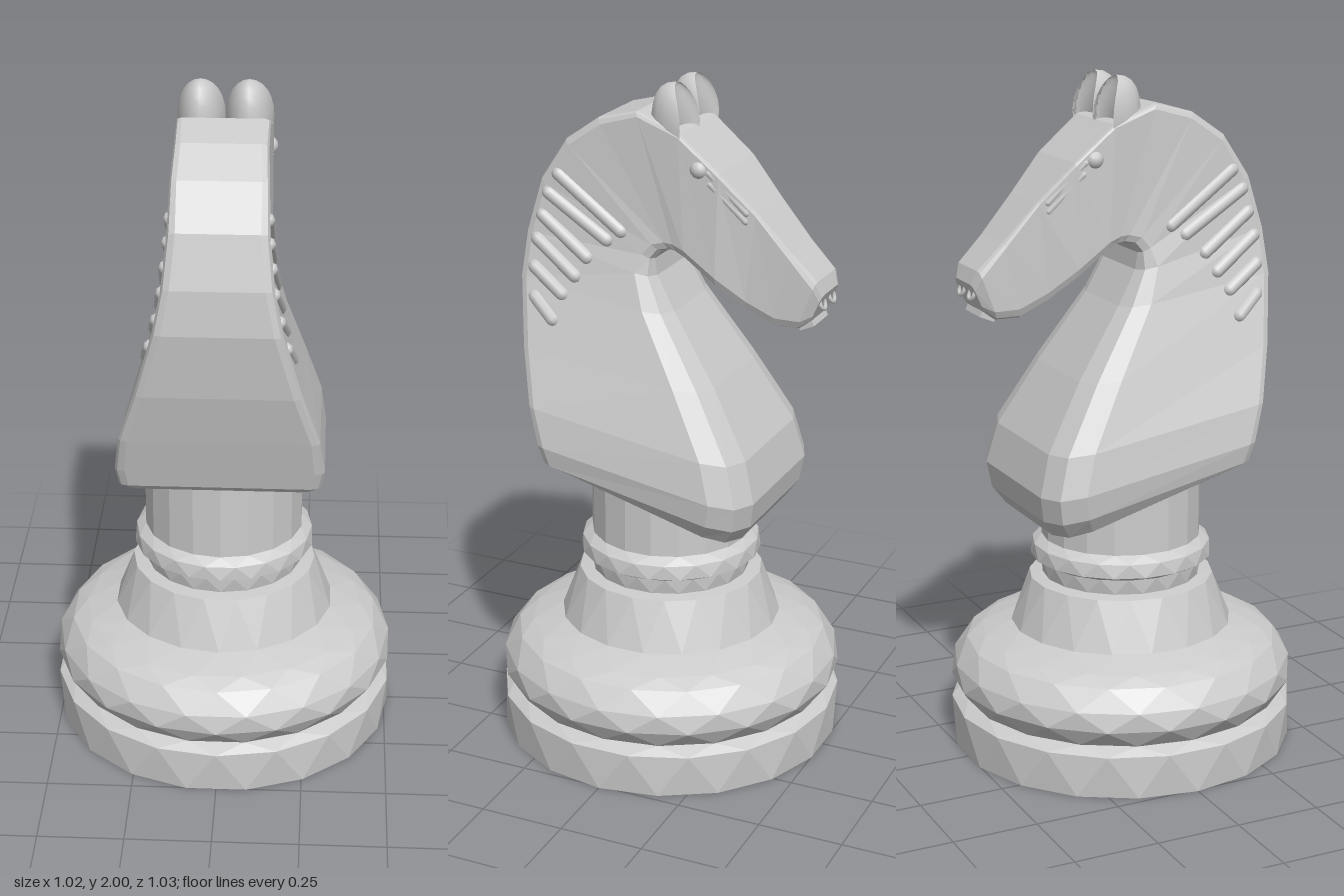
import * as THREE from 'three';

const mat = new THREE.MeshStandardMaterial({ color: 0xcccccc, flatShading: true });
const smooth = new THREE.MeshStandardMaterial({ color: 0xcccccc });

// Horse cross-sections, chest to muzzle:
// [crest z, crest y, throat z, throat y, half width, crest rounding, throat rounding]
const SECTIONS = [
  [0.23, 0.865, -0.25, 0.70, 0.20, 0.03, 0.07],
  [0.265, 0.875, -0.30, 0.715, 0.26, 0.03, 0.09],
  [0.285, 0.895, -0.335, 0.765, 0.29, 0.03, 0.10],
  [0.30, 0.95, -0.347, 0.84, 0.30, 0.03, 0.10],
  [0.33, 1.06, -0.315, 0.96, 0.285, 0.025, 0.10],
  [0.37, 1.22, -0.20, 1.15, 0.235, 0.025, 0.09],
  [0.40, 1.42, -0.06, 1.35, 0.18, 0.025, 0.07],
  [0.39, 1.55, -0.005, 1.45, 0.155, 0.025, 0.05],
  [0.35, 1.70, 0.00, 1.50, 0.14, 0.025, 0.03],
  [0.27, 1.82, -0.02, 1.525, 0.135, 0.02, 0.03],
  [0.17, 1.89, -0.05, 1.53, 0.13, 0.02, 0.03],
  [0.05, 1.92, -0.07, 1.525, 0.13, 0.015, 0.03],
  [-0.08, 1.87, -0.10, 1.51, 0.135, 0.01, 0.03],
  [-0.20, 1.77, -0.19, 1.44, 0.13, 0.01, 0.03],
  [-0.30, 1.665, -0.27, 1.375, 0.10, 0.01, 0.03],
  [-0.40, 1.555, -0.35, 1.335, 0.09, 0.015, 0.03],
  [-0.475, 1.48, -0.42, 1.335, 0.088, 0.02, 0.03],
  [-0.49, 1.44, -0.455, 1.36, 0.07, 0.02, 0.02],
];

// Mane locks: [section at crest, section at tip, reach toward the throat]
const MANE = [
  [8.35, 8.25, 0.7], [7.87, 7.65, 0.62], [7.4, 6.9, 0.49],
  [6.9, 6.35, 0.39], [6.27, 5.9, 0.29], [5.75, 5.5, 0.2],
];

// Point on a section: t runs from crest (0) to throat (1)
const along = ([bz, by, fz, fy], t, x) =>
  new THREE.Vector3(x, by + (fy - by) * t, bz + (fz - bz) * t);

// Outline of one section, with rounded corners
function ring(s) {
  const [bz, by, fz, fy, w, crest, throat] = s;
  const len = Math.hypot(fz - bz, fy - by);
  const arc = [0, Math.PI / 4, Math.PI / 2];
  const half = [
    ...arc.map((a) => [crest / len * (1 - Math.sin(a)), w - crest * Math.cos(a)].reverse()),
    ...arc.map((a) => [w - throat * (1 - Math.cos(a)), 1 - throat / len * (1 - Math.sin(a))]),
  ];
  // crest corner runs from the back face to the flank
  half.splice(0, 3, ...arc.map((a) => [w - crest * (1 - Math.sin(a)), crest / len * (1 - Math.cos(a))]));
  return [
    ...half.map(([x, t]) => along(s, t, x)),
    ...half.reverse().map(([x, t]) => along(s, t, -x)),
  ];
}

// Point on the horse's left flank at fractional section index k
function flank(k, t) {
  const i = Math.floor(k), f = k - i;
  const s = SECTIONS[i].map((v, j) => v + (SECTIONS[i + 1][j] - v) * f);
  return along(s, t, s[4] - 0.008);
}

// Skin over the sections, capped at both ends
function horseGeometry() {
  const rings = SECTIONS.map(ring), n = rings[0].length;
  const pos = [], idx = [];
  rings.flat().forEach((p) => pos.push(p.x, p.y, p.z));
  for (let i = 0; i < rings.length - 1; i++) {
    for (let j = 0; j < n; j++) {
      const a = i * n + j, b = i * n + (j + 1) % n;
      idx.push(a, b, b + n, a, b + n, a + n);
    }
  }
  const top = (rings.length - 1) * n;
  for (let j = 1; j < n - 1; j++) {
    idx.push(0, j + 1, j, top, top + j, top + j + 1);
  }
  const g = new THREE.BufferGeometry();
  g.setAttribute('position', new THREE.Float32BufferAttribute(pos, 3));
  g.setIndex(idx);
  g.computeVertexNormals();
  return g;
}

// Turned base; each row is turned half a step further for triangular facets
function baseGeometry() {
  const profile = [
    [0, 0], [0.51, 0], [0.513, 0.125], [0.475, 0.145], [0.512, 0.2], [0.507, 0.255],
    [0.465, 0.315], [0.42, 0.338], [0.33, 0.365], [0.275, 0.51], [0.235, 0.515],
    [0.24, 0.56], [0.27, 0.575], [0.265, 0.615], [0.237, 0.635], [0.237, 0.88],
  ].map(([x, y]) => new THREE.Vector2(x, y));
  const sides = 18;
  const g = new THREE.LatheGeometry(profile, sides);
  const p = g.attributes.position, v = new THREE.Vector3();
  for (let i = 0; i < p.count; i++) {
    const row = Math.min(i % profile.length, profile.length - 2);
    v.fromBufferAttribute(p, i).applyAxisAngle(THREE.Object3D.DEFAULT_UP, row * Math.PI / sides);
    p.setXYZ(i, v.x, v.y, v.z);
  }
  return g;
}

// Ear: sloping behind, hollowed toward the face, tip leaning back
function earGeometry() {
  const g = new THREE.SphereGeometry(1, 16, 12);
  const p = g.attributes.position;
  for (let i = 0; i < p.count; i++) {
    const y = p.getY(i), z = p.getZ(i);
    p.setXYZ(i, p.getX(i) * 0.068, y * 0.12, (z < 0 ? -z * 0.03 : z * 0.115) + 0.04 * y * y);
  }
  g.computeVertexNormals();
  return g;
}

function add(group, name, geometry, material, x = 0, y = 0, z = 0) {
  const m = new THREE.Mesh(geometry, material);
  m.name = name;
  m.position.set(x, y, z);
  group.add(m);
  return m;
}

// Rounded bar between two points
function bar(group, name, a, b, r) {
  const m = add(group, name, new THREE.CapsuleGeometry(r, a.distanceTo(b), 4, 8), smooth);
  m.position.copy(a).lerp(b, 0.5);
  m.quaternion.setFromUnitVectors(THREE.Object3D.DEFAULT_UP, b.clone().sub(a).normalize());
}

export function createModel() {
  const model = new THREE.Group();
  model.name = 'chessKnight';
  add(model, 'base', baseGeometry(), mat);
  add(model, 'horse', horseGeometry(), mat);

  for (const side of [1, -1]) {
    const label = side > 0 ? 'left' : 'right';
    const mirror = (p) => p.setX(p.x * side);

    add(model, label + 'Ear', earGeometry(), smooth, side * 0.068, 1.88, -0.088);

    // Mane locks, shorter toward the bottom
    const mane = new THREE.Group();
    mane.name = label + 'Mane';
    for (const [k0, k1, reach] of MANE) {
      bar(mane, 'maneLock', mirror(flank(k0, 0.1)), mirror(flank(k1, reach)), 0.021);
    }
    model.add(mane);

    // Eye with creases running down the cheek
    add(model, label + 'Eye', new THREE.SphereGeometry(0.027, 12, 8), smooth, side * 0.12, 1.775, -0.14);
    for (let i = 0; i < 2; i++) {
      bar(model, label + 'EyeCrease', mirror(flank(12.75 + i * 0.05, 0.08 + i * 0.08)),
        mirror(flank(13.75, 0.1 + i * 0.08)), 0.012);
    }

    // Nostril ring on the muzzle
    const nostril = add(model, label + 'Nostril', new THREE.TorusGeometry(0.017, 0.006, 6, 12), smooth,
      side * 0.036, 1.41, -0.479);
    nostril.rotation.x = 0.38;
  }

  // Lower lip under the muzzle
  const lip = add(model, 'lowerLip', new THREE.BoxGeometry(0.11, 0.025, 0.045), mat, 0, 1.348, -0.437);
  lip.rotation.x = 0.4;
  return model;
}
